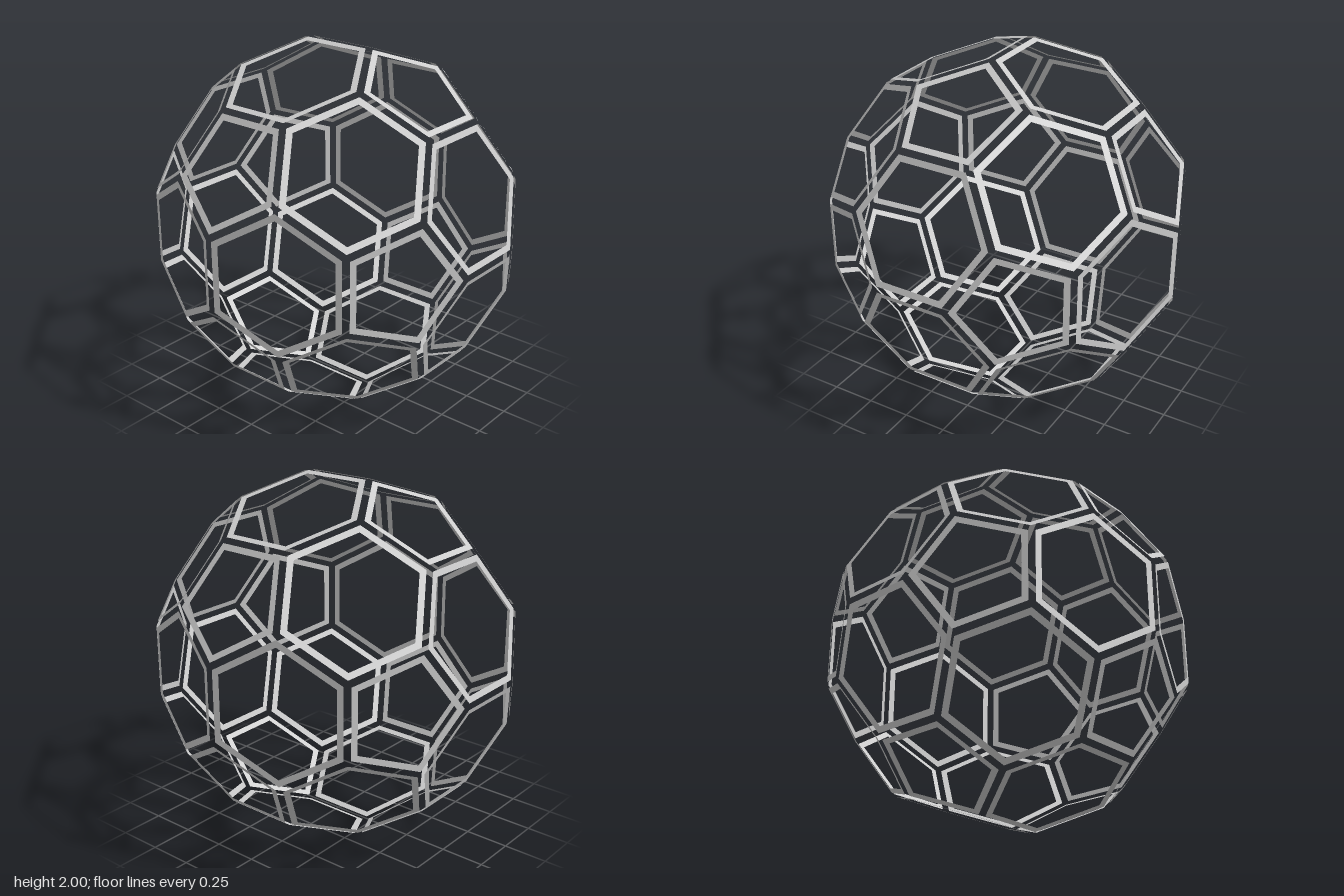
import * as THREE from 'three';

const PHI = (1 + Math.sqrt(5)) / 2;
const UNIT = 0.6224;   // scale of the base icosahedron (half edge)
const INSET = 0.0195;  // gap from the true face edge to the frame
const BAR = 0.033;     // width of the frame bars

export function createModel() {
  const group = new THREE.Group();
  group.name = 'openTruncatedIcosahedron';
  const material = new THREE.MeshStandardMaterial({
    color: 0xcccccc, flatShading: true, side: THREE.DoubleSide,
  });

  // Flat polygonal frame lying on one face, turned so a corner meets the given point
  function addFrame(name, sides, center, corner) {
    const x = corner.clone().sub(center);
    const toRadius = 1 / Math.cos(Math.PI / sides);
    const outer = x.length() - INSET * toRadius;
    const geometry = new THREE.RingGeometry(outer - BAR * toRadius, outer, sides, 1);
    const z = center.clone().normalize();
    x.normalize();
    const y = z.clone().cross(x);
    geometry.applyMatrix4(new THREE.Matrix4().makeBasis(x, y, z).setPosition(center));
    const mesh = new THREE.Mesh(geometry, material);
    mesh.name = name;
    mesh.position.y = 1;
    group.add(mesh);
  }

  // Twelve icosahedron corners
  const points = [];
  for (const a of [-1, 1]) {
    for (const b of [-PHI, PHI]) {
      points.push(new THREE.Vector3(a, 0, b), new THREE.Vector3(b, a, 0), new THREE.Vector3(0, b, a));
    }
  }
  points.forEach((p) => p.multiplyScalar(UNIT));
  const joined = (p, q) => p !== q && p.distanceTo(q) < UNIT * 2.1;

  // Pentagon frames where the corners are cut off
  points.forEach((p) => {
    const cuts = points.filter((q) => joined(p, q)).map((q) => p.clone().lerp(q, 1 / 3));
    const center = cuts.reduce((sum, c) => sum.add(c), new THREE.Vector3()).divideScalar(5);
    addFrame('pentagonFrame', 5, center, cuts[0]);
  });

  // Hexagon frames on the twenty triangular faces
  points.forEach((a, i) => points.forEach((b, j) => points.forEach((c, k) => {
    if (i < j && j < k && joined(a, b) && joined(b, c) && joined(a, c)) {
      const center = a.clone().add(b).add(c).divideScalar(3);
      addFrame('hexagonFrame', 6, center, a.clone().lerp(b, 1 / 3));
    }
  })));

  return group;
}
